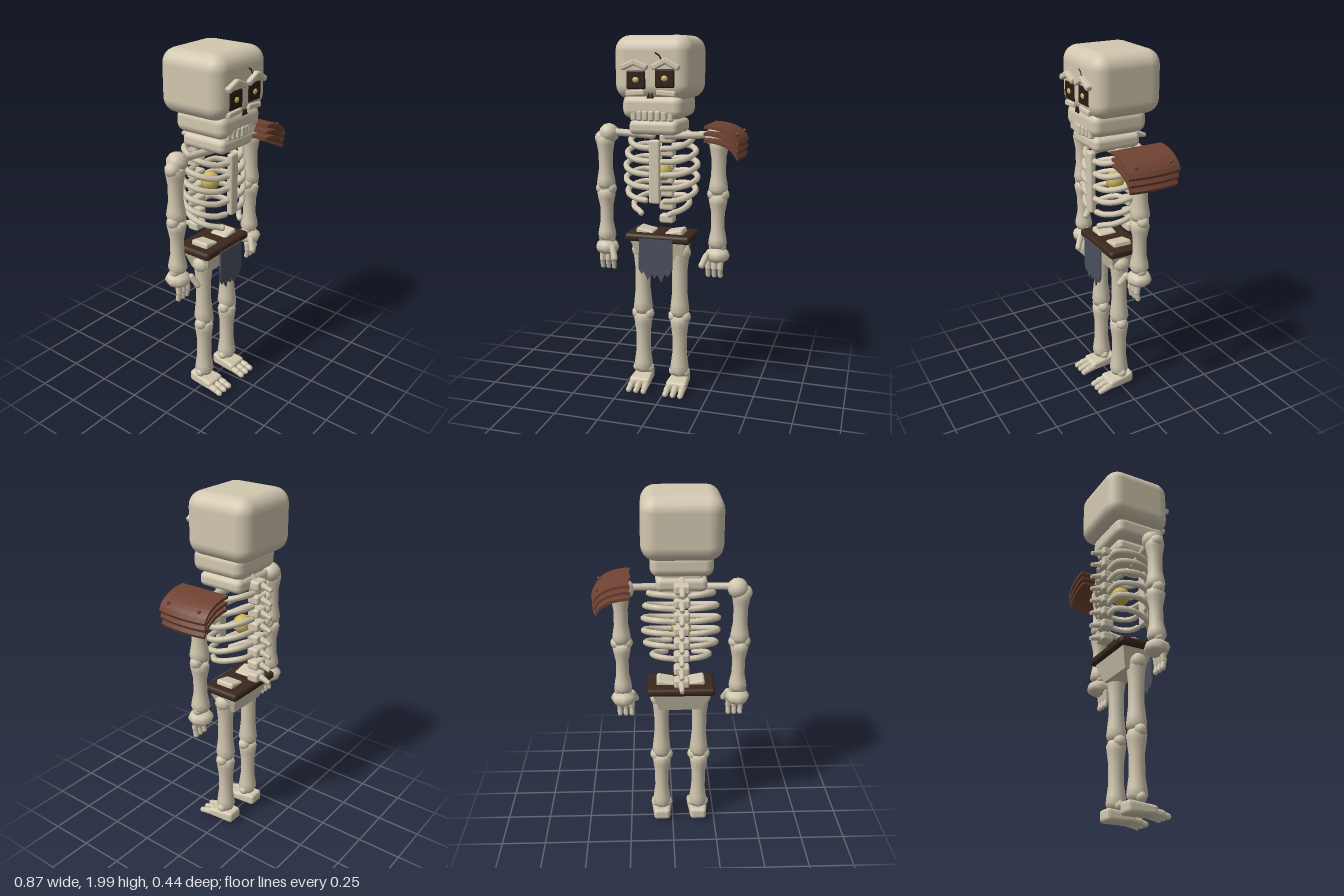
import * as THREE from 'three';
import { RoundedBoxGeometry } from 'three/addons/geometries/RoundedBoxGeometry.js';

const mat = (name, color, extra = {}) => {
  const m = new THREE.MeshStandardMaterial({ color, ...extra });
  m.name = name;
  return m;
};

export function createModel() {
  const bone = mat('bone', 0xd2c8b0);
  const dark = mat('socket brown', 0x2c1b13);
  const leather = mat('belt leather', 0x3b281d);
  const armour = mat('shoulder leather', 0x6f4232);
  const gold = mat('gold', 0xcdb75c);
  const cloth = mat('cloth', 0x4a505c, { side: THREE.DoubleSide });

  const model = new THREE.Group();
  model.name = 'skeleton';
  const body = new THREE.Group();
  body.name = 'body';
  body.position.x = -0.045;
  model.add(body);

  const V = (x, y, z) => new THREE.Vector3(x, y, z);
  const add = (name, geo, m, x = 0, y = 0, z = 0, parent = body) => {
    const mesh = new THREE.Mesh(geo, m);
    mesh.name = name;
    mesh.position.set(x, y, z);
    parent.add(mesh);
    return mesh;
  };
  const block = (name, w, h, d, r, m, x, y, z, seg = 2) =>
    add(name, new RoundedBoxGeometry(w, h, d, seg, r), m, x, y, z);
  const ball = (name, r, m, x, y, z) => add(name, new THREE.SphereGeometry(r, 10, 8), m, x, y, z);
  // rod with rounded ends between two points
  const rod = (name, a, b, r, m = bone) => {
    const mesh = add(name, new THREE.CapsuleGeometry(r, a.distanceTo(b), 3, 8), m);
    mesh.position.copy(a).add(b).multiplyScalar(0.5);
    mesh.quaternion.setFromUnitVectors(V(0, 1, 0), b.clone().sub(a).normalize());
    return mesh;
  };
  // bar lying on the face, between two points in x and y
  const bar = (name, x0, y0, x1, y1, h, d, z, m = bone) => {
    const len = Math.hypot(x1 - x0, y1 - y0);
    const mesh = block(name, len, h, d, Math.min(h, d) * 0.3, m, (x0 + x1) / 2, (y0 + y1) / 2, z, 1);
    mesh.rotation.z = Math.atan2(y1 - y0, x1 - x0);
    return mesh;
  };
  // long bone, flared at both ends
  const longBone = (name, x, y0, y1, rEnd, rMid) => {
    const h = y1 - y0;
    const profile = [[0, 0], [0.8, 0], [1, 0.08], [0.92, 0.18], [0, 0.36], [0, 0.66], [0.92, 0.84], [1, 0.93], [0.8, 1], [0, 1]];
    const pts = profile.map(([k, t], i) => new THREE.Vector2(
      i === 0 || i === 9 ? 0 : (k === 0 ? rMid : rEnd * k), t * h));
    return add(name, new THREE.LatheGeometry(pts, 10), bone, x, y0, 0);
  };

  // Head
  block('skull', 0.42, 0.33, 0.395, 0.08, bone, 0, 1.835, -0.01, 3);
  block('upperJaw', 0.33, 0.125, 0.315, 0.045, bone, 0, 1.637, 0.02);
  block('lowerJaw', 0.27, 0.078, 0.27, 0.03, bone, 0, 1.528, 0.02);
  block('jawHinge', 0.22, 0.08, 0.16, 0.02, bone, 0, 1.57, -0.02);
  for (let i = 0; i < 7; i++) {
    block('tooth', 0.03, 0.055, 0.03, 0.01, bone, (i - 3) * 0.0335, 1.592, 0.172 - Math.abs(i - 3) * 0.004);
  }
  for (const s of [-1, 1]) {
    const ey = 1.78 + s * 0.004;
    block('eyeSocket', 0.103, 0.095, 0.02, 0.009, dark, s * 0.077, ey, 0.184);
    ball('eye', 0.017, gold, s * 0.077, ey, 0.192).scale.set(1.1, 0.9, 0.6);
    bar('outerBrow', s * 0.155, 1.834, s * 0.078, 1.872 + s * 0.004, 0.03, 0.045, 0.19);
    bar('innerBrow', s * 0.09, 1.872 + s * 0.004, s * 0.012, 1.836, 0.03, 0.045, 0.19);
    bar('cheekbone', s * 0.135, 1.705, s * 0.03, 1.713, 0.03, 0.035, 0.178);
    const nostril = add('nostril', new THREE.CylinderGeometry(0.02, 0.02, 0.008, 3), dark, s * 0.009, 1.692, 0.187);
    nostril.rotation.x = Math.PI / 2;
    nostril.rotation.y = Math.PI;
    nostril.scale.x = 0.6;
  }
  bar('crack', 0.026, 1.912, 0.05, 1.897, 0.008, 0.008, 0.186, dark);
  bar('crack', 0.047, 1.9, 0.062, 1.872, 0.008, 0.008, 0.186, dark);

  // Spine with swept-back processes
  for (let i = 0; i < 8; i++) {
    const y = 1.52 - i * 0.0765;
    block('vertebra', 0.085, 0.052, 0.07, 0.014, bone, 0, y, -0.13);
    const spike = add('spinousProcess', new THREE.CylinderGeometry(0.012, 0.022, 0.075, 6), bone, 0, y - 0.008, -0.185);
    spike.rotation.x = -Math.PI / 2 - 0.3;
  }
  rod('neck', V(0, 1.49, -0.12), V(0, 1.6, -0.04), 0.035);

  // Rib cage
  const halfWidths = [0.17, 0.19, 0.2, 0.2, 0.19, 0.155];
  halfWidths.forEach((w, i) => {
    const y = 1.475 - i * 0.071;
    const gap = i < 4 ? 0.04 : 0.03 + (i - 3) * 0.025;
    for (const s of [-1, 1]) {
      const path = new THREE.CatmullRomCurve3([
        V(s * 0.03, y, -0.125), V(s * w * 0.68, y + 0.006, -0.115), V(s * w, y - 0.015, -0.03),
        V(s * w * 0.9, y - 0.038, 0.05), V(s * w * 0.58, y - 0.056, 0.095), V(s * gap, y - 0.06, 0.108),
      ]);
      add('rib', new THREE.TubeGeometry(path, 18, 0.0165, 7), bone);
      const end = path.getPoint(1);
      ball('ribEnd', 0.0165, bone, end.x, end.y, end.z);
    }
  });
  block('sternum', 0.062, 0.345, 0.035, 0.012, bone, 0, 1.29, 0.115);
  ball('glowingHeart', 0.053, gold, 0, 1.27, -0.035);

  // Hips
  const hips = new THREE.BoxGeometry(0.33, 0.13, 0.19, 1, 1, 1);
  const hp = hips.attributes.position;
  for (let i = 0; i < hp.count; i++) {
    if (hp.getY(i) < 0) hp.setXYZ(i, hp.getX(i) * 0.72, hp.getY(i), hp.getZ(i) * 0.6);
  }
  hips.computeVertexNormals();
  add('pelvis', hips, bone, 0, 0.845, -0.015);
  block('belt', 0.375, 0.045, 0.225, 0.018, leather, 0, 0.912, -0.018);

  // Ragged loincloth
  const rag = new THREE.Shape([
    [-0.095, 0.915], [-0.097, 0.74], [-0.08, 0.712], [-0.07, 0.73], [-0.045, 0.682], [-0.03, 0.718],
    [-0.005, 0.692], [0.008, 0.715], [0.035, 0.67], [0.052, 0.722], [0.072, 0.705], [0.095, 0.75], [0.095, 0.915],
  ].map(p => new THREE.Vector2(...p)));
  add('loincloth', new THREE.ExtrudeGeometry(rag, { depth: 0.008, bevelEnabled: false }), cloth, 0, 0, 0.104);

  for (const s of [-1, 1]) {
    const wing = block('hipWing', 0.1, 0.04, 0.11, 0.012, bone, s * 0.085, 0.932, -0.01);
    wing.rotation.z = s * 0.2;

    // Shoulder and arm
    const ax = s * 0.323;
    rod('collarbone', V(s * 0.04, 1.475, 0.03), V(s * 0.27, 1.485, 0), 0.02);
    add('shoulder', new THREE.IcosahedronGeometry(0.057, 1), bone, s * 0.302, 1.475, -0.005);
    add('outerShoulder', new THREE.IcosahedronGeometry(0.042, 1), bone, s * 0.342, 1.448, 0);
    longBone('upperArm', ax, 1.17, 1.46, 0.053, 0.04);
    longBone('forearm', ax, 0.87, 1.16, 0.052, 0.037);
    for (const k of [-1, 1]) {
      ball('elbow', 0.036, bone, ax + k * 0.026, 1.165, 0);
      ball('wrist', 0.03, bone, ax + k * 0.02, 0.875, 0);
    }
    const palm = add('palm', new THREE.SphereGeometry(0.07, 8, 6), bone, ax, 0.825, 0);
    palm.scale.set(1, 0.66, 1);
    for (let i = -1; i < 2; i++) {
      const fx = ax - s * 0.012 + i * 0.034;
      rod('upperFinger', V(fx, 0.795, 0.02), V(fx, 0.755, 0.025), 0.017);
      rod('fingertip', V(fx, 0.75, 0.025), V(fx, 0.713, 0.018), 0.0145);
    }
    rod('thumb', V(ax - s * 0.05, 0.83, 0.05), V(ax - s * 0.07, 0.78, 0.075), 0.018);

    // Leg
    const lx = s * 0.109;
    ball('hipJoint', 0.052, bone, lx + s * 0.012, 0.825, 0);
    longBone('thigh', lx, 0.45, 0.85, 0.055, 0.043);
    longBone('shin', lx, 0.09, 0.45, 0.055, 0.042);
    for (const k of [-1, 1]) {
      ball('knee', 0.036, bone, lx + k * 0.031, 0.445, 0.003);
      ball('ankle', 0.028, bone, lx + k * 0.036, 0.105, 0);
    }

    // Foot, low at the toes
    const foot = new RoundedBoxGeometry(0.125, 0.07, 0.165, 2, 0.02);
    const fp = foot.attributes.position;
    for (let i = 0; i < fp.count; i++) {
      const t = fp.getZ(i) / 0.165 + 0.5;
      fp.setXYZ(i, fp.getX(i) * (0.75 + 0.25 * t), fp.getY(i) * (1 - 0.3 * t) - 0.01 * t, fp.getZ(i));
    }
    foot.computeVertexNormals();
    add('foot', foot, bone, lx, 0.055, 0.008);
    for (let i = -1; i < 2; i++) {
      const tx = lx + i * 0.04;
      rod('toe', V(tx, 0.04, 0.07), V(tx + i * 0.003, 0.033, 0.115), 0.02);
      rod('toeTip', V(tx + i * 0.003, 0.031, 0.115), V(tx + i * 0.004, 0.023, 0.147), 0.017);
    }
  }

  // Layered shoulder guard on the left arm
  const guard = new THREE.Group();
  guard.name = 'shoulderGuard';
  model.add(guard);
  const arc = t => [0.228 + 0.2 * Math.sin(t * 1.3) / Math.sin(1.3), 1.546 - 0.088 * t * t];
  for (let n = 0; n < 3; n++) {
    const outer = [], inner = [];
    for (let i = 0; i <= 8; i++) {
      const [x, y] = arc(i / 8);
      outer.push(new THREE.Vector2(x, y));
      inner.unshift(new THREE.Vector2(x - 0.008 * i / 8, y - 0.015));
    }
    const depth = 0.294 - n * 0.01;
    const geo = new THREE.ExtrudeGeometry(new THREE.Shape([...outer, ...inner]), { depth, steps: 6, bevelEnabled: false });
    geo.translate(0, 0, -depth / 2);
    const p = geo.attributes.position;
    for (let i = 0; i < p.count; i++) {
      const bow = (p.getZ(i) / (depth / 2)) ** 2;
      p.setX(i, p.getX(i) - 0.016 * bow * (p.getX(i) - 0.228) / 0.2);
    }
    geo.computeVertexNormals();
    add('guardPlate', geo, armour, -n * 0.002, -n * 0.036, -0.003, guard);
  }
  for (const z of [-0.103, 0.095]) {
    add('rivet', new THREE.SphereGeometry(0.01, 8, 6), armour, 0.394, 1.503, z, guard);
  }
  return model;
}
